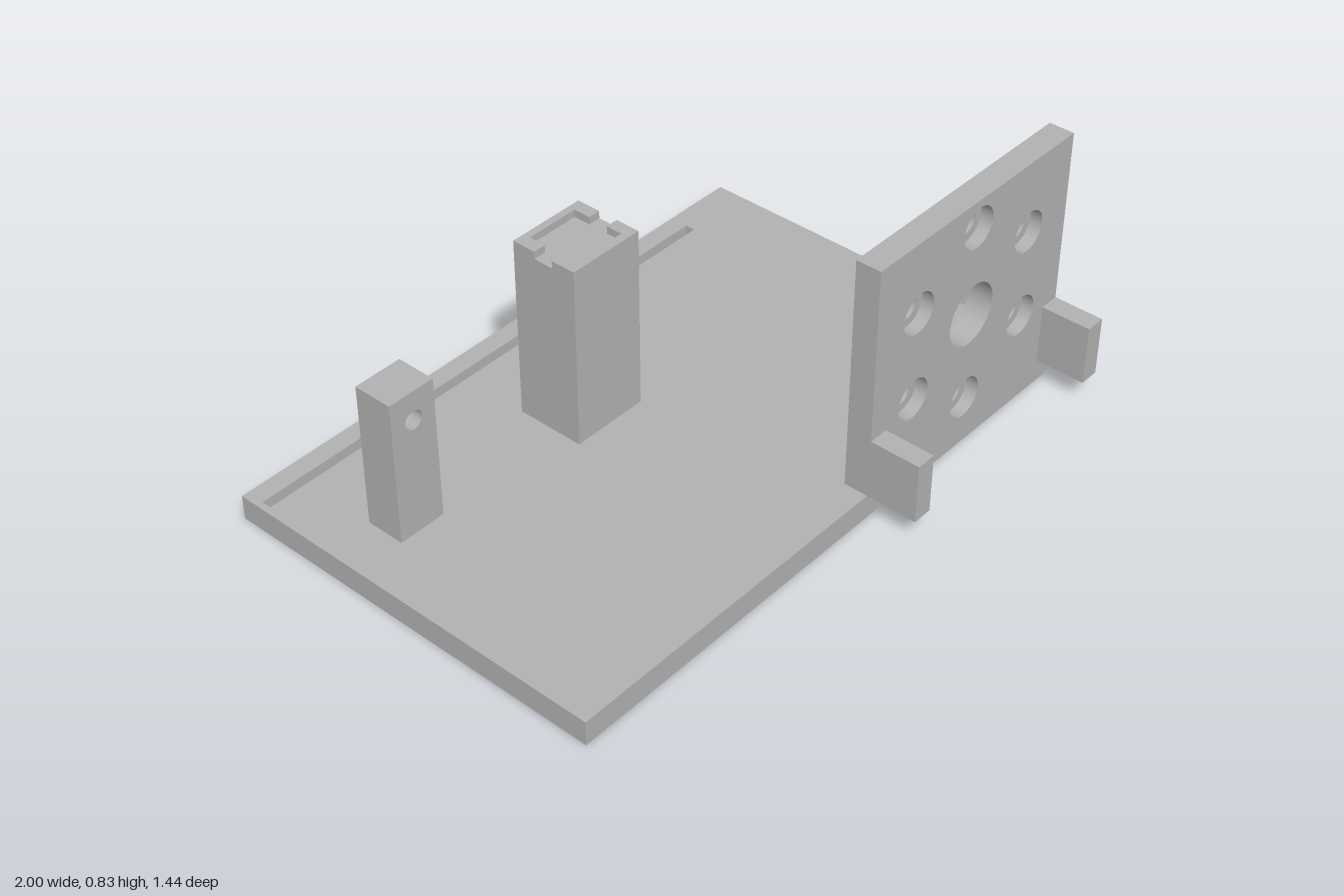
import * as THREE from 'three';

export function createModel() {
  const model = new THREE.Group();
  model.name = 'mountingFixture';
  const grey = new THREE.MeshStandardMaterial({ color: 0xb2b2b2 });
  grey.name = 'plain grey';

  const add = (name, geometry) => {
    const mesh = new THREE.Mesh(geometry, grey);
    mesh.name = name;
    model.add(mesh);
    return mesh;
  };
  // Box from its minimum and maximum corners
  const box = (name, x0, x1, y0, y1, z0, z1) => add(name,
    new THREE.BoxGeometry(x1 - x0, y1 - y0, z1 - z0)
      .translate((x0 + x1) / 2, (y0 + y1) / 2, (z0 + z1) / 2));
  const outline = pts => new THREE.Shape(pts.map(p => new THREE.Vector2(p[0], p[1])));
  const rect = (x0, x1, y0, y1) => outline([[x0, y0], [x1, y0], [x1, y1], [x0, y1]]);
  const circle = (x, y, r) => new THREE.Path().absarc(x, y, r, 0, Math.PI * 2, true);
  const extrude = (shape, depth) =>
    new THREE.ExtrudeGeometry(shape, { depth, bevelEnabled: false, curveSegments: 32 });
  // Upright plate drawn in x, y between two depths
  const upright = (name, shape, z0, z1) => add(name, extrude(shape, z1 - z0).translate(0, 0, z0));
  // Flat plate drawn in x, -z between two heights
  const flat = (name, shape, y0, y1) =>
    add(name, extrude(shape, y1 - y0).rotateX(-Math.PI / 2).translate(0, y0, 0));

  // Base with a long blind groove near the back edge
  box('baseLower', -1, 1, 0, 0.04, -0.72, 0.557);
  const baseTop = rect(-1, 1, -0.557, 0.72);
  baseTop.holes.push(rect(-0.98, 0.765, 0.627, 0.659));
  flat('baseUpper', baseTop, 0.04, 0.08);

  // Motor plate: central bore and six counterbored screw holes
  const cx = 0.553, cy = 0.453;
  const layers = [['motorPlateBack', 0.037, 0.48, 0.52], ['motorPlateFront', 0.065, 0.52, 0.56]];
  for (const [name, radius, z0, z1] of layers) {
    const face = rect(0.12, 0.985, 0.08, 0.832);
    face.holes.push(circle(cx, cy, 0.098));
    for (let i = 0; i < 6; i++) {
      const a = Math.PI / 6 + i * Math.PI / 3;
      face.holes.push(circle(cx + 0.289 * Math.cos(a), cy + 0.289 * Math.sin(a), radius));
    }
    upright(name, face, z0, z1);
  }
  // Lugs at the lower corners of the plate
  for (const x of [0.12, 0.92]) box('plateLug', x, x + 0.065, 0.08, 0.273, 0.56, 0.72);

  // Small post with a cross hole
  const post = rect(-0.845, -0.69, 0.08, 0.545);
  post.holes.push(circle(-0.767, 0.453, 0.03));
  upright('smallPost', post, -0.381, -0.256);

  // Tower with a shallow pocket, open through a notch on each side
  const l = -0.236, r = 0.02, pl = -0.195, pr = -0.02;
  box('tower', l, r, 0.08, 0.647, -0.403, -0.18);
  flat('towerRimFront', outline([[l, 0.18], [r, 0.18], [r, 0.26], [pr, 0.26],
    [pr, 0.207], [pl, 0.207], [pl, 0.26], [l, 0.26]]), 0.647, 0.671);
  flat('towerRimBack', outline([[l, 0.403], [l, 0.325], [pl, 0.325], [pl, 0.38],
    [pr, 0.38], [pr, 0.325], [r, 0.325], [r, 0.403]]), 0.647, 0.671);

  return model;
}
